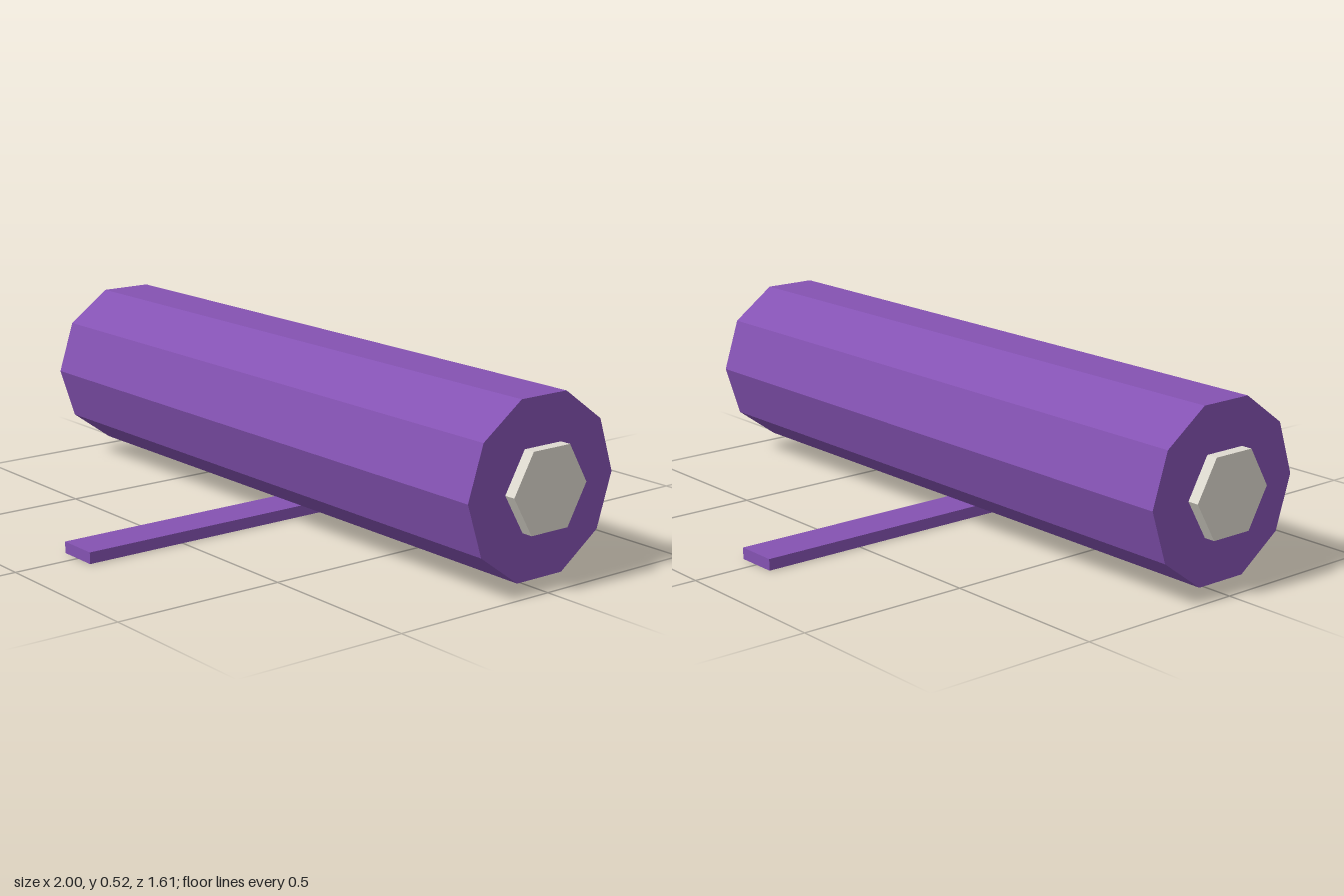
import * as THREE from 'three';

const AXIS_Y = 0.277; // height of the roller's axis

export function createModel() {
  const model = new THREE.Group();
  const purple = new THREE.MeshStandardMaterial({ name: 'purple', color: 0x8452b2, flatShading: true });
  const cream = new THREE.MeshStandardMaterial({ name: 'cream', color: 0xdedad0, flatShading: true });

  // Prism lying along x, with a corner pointing to the front and back
  const prism = (name, radius, length, sides, material, x = 0) => {
    const geometry = new THREE.CylinderGeometry(radius, radius, length, sides).rotateZ(Math.PI / 2);
    const mesh = new THREE.Mesh(geometry, material);
    mesh.name = name;
    mesh.position.set(x, AXIS_Y, 0);
    model.add(mesh);
  };

  // Ten-sided body
  prism('body', 0.257, 1.934, 10, purple);

  // Hexagonal caps, one at each end
  prism('leftCap', 0.129, 0.066, 6, cream, 0.967);
  prism('rightCap', 0.129, 0.066, 6, cream, -0.967);

  // Flat crossbar under the body
  const bar = new THREE.Mesh(new THREE.BoxGeometry(0.126, 0.033, 1.61), purple);
  bar.name = 'crossbar';
  bar.position.y = 0.0165;
  model.add(bar);

  return model;
}
